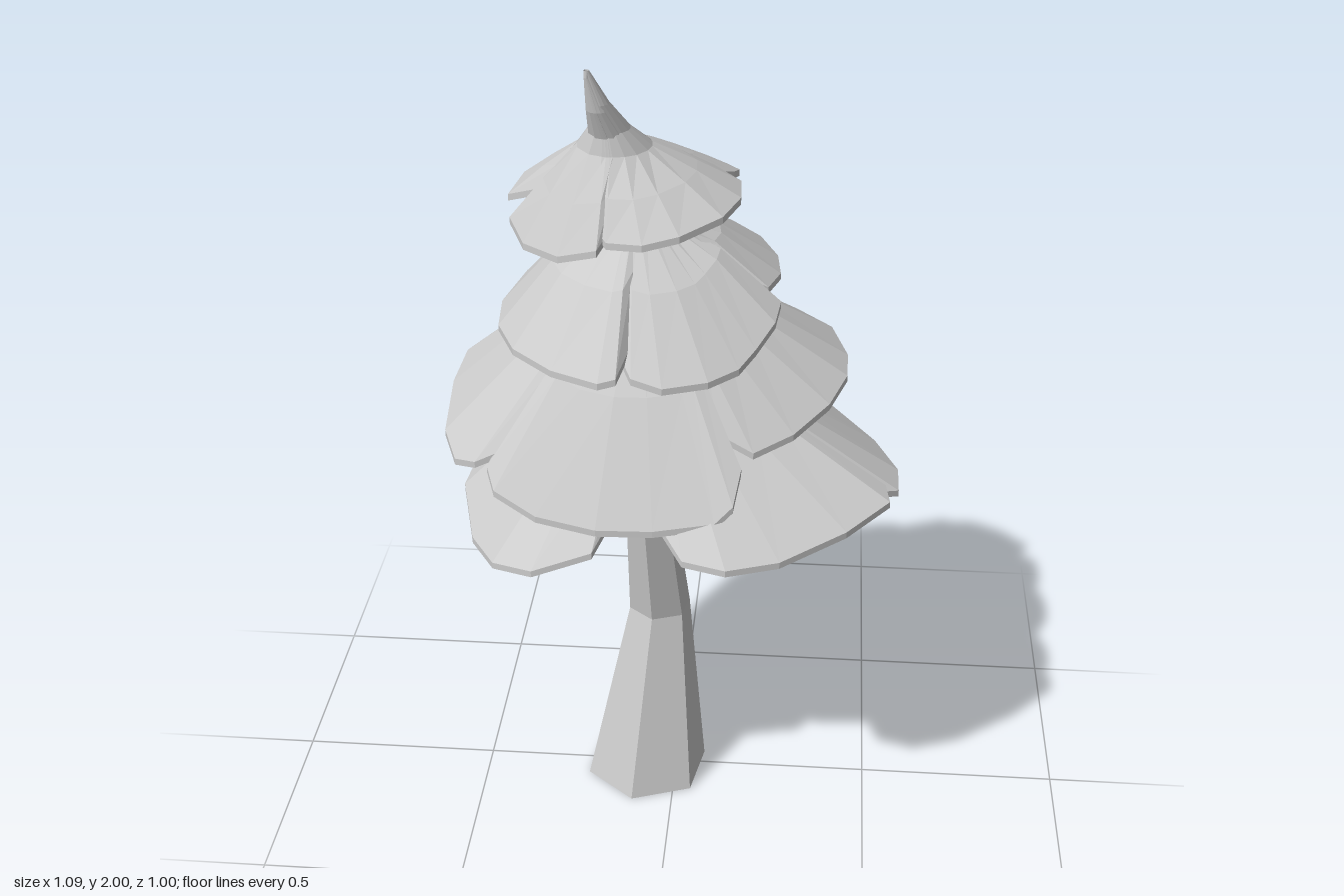
import * as THREE from 'three';

const material = new THREE.MeshStandardMaterial({
  color: 0xcccccc, flatShading: true, side: THREE.DoubleSide,
});

// Joins equal-length loops of points (first to last) into one skin.
function loft(loops, name) {
  const n = loops[0].length;
  const index = [];
  for (let j = 0; j < loops.length - 1; j++) {
    for (let i = 0; i < n; i++) {
      const k = (i + 1) % n;
      const a = j * n + i, b = j * n + k, c = a + n, d = b + n;
      index.push(a, b, c, b, d, c);
    }
  }
  const geometry = new THREE.BufferGeometry().setFromPoints(loops.flat());
  geometry.setIndex(index);
  geometry.computeVertexNormals();
  const mesh = new THREE.Mesh(geometry, material);
  mesh.name = name;
  return mesh;
}

const ringPoint = ([x, y, z, r], angle) =>
  new THREE.Vector3(x + r * Math.cos(angle), y, z + r * Math.sin(angle));

// Bent six-sided trunk; each section is [x, y, z, radius].
function makeTrunk() {
  const sections = [
    [-0.10, 1.75, 0.085, 0],
    [-0.10, 1.74, 0.085, 0.04],
    [-0.06, 1.0, 0.03, 0.058],
    [-0.06, 0.8, 0.04, 0.063],
    [-0.045, 0.49, -0.03, 0.08],
    [-0.077, 0, 0.012, 0.16],
    [-0.077, 0, 0.012, 0],
  ];
  const angles = [40, 100, 160, 220, 280, 340].map(THREE.MathUtils.degToRad);
  return loft(sections.map(s => angles.map(a => ringPoint(s, a))), 'trunk');
}

// One drooping sheet: hub rings, a bulged middle and a rim of [x, z, y] points.
function makeSheet(name, hubs, rim, bulge) {
  const thickness = 0.016;
  const inner = hubs[hubs.length - 1];
  const sections = rim.map(([x, z, y]) => {
    const angle = Math.atan2(z - inner[2], x - inner[0]);
    const edge = new THREE.Vector3(x, y, z);
    const line = hubs.map(h => ringPoint(h, angle));
    const middle = line[line.length - 1].clone().lerp(edge, 0.5);
    middle.y += bulge;
    const top = [...line, middle, edge];
    const under = top.map(p => p.clone().setY(p.y - thickness));
    return { top, under };
  });
  // the end loops fold onto the underside and close the two cut edges
  const fold = ({ under }) => [...under, ...[...under].reverse()];
  const loops = sections.map(({ top, under }) => [...under, ...top.reverse()]);
  return loft([fold(sections[0]), ...loops, fold(sections[sections.length - 1])], name);
}

// Three sheets that overlap at their ends make one tier.
function makeTier(name, hubs, rims, bulge) {
  const tier = new THREE.Group();
  tier.name = name;
  rims.forEach((rim, i) => tier.add(makeSheet(`${name}Sheet${i + 1}`, hubs, rim, bulge)));
  return tier;
}

const crownRims = [
  [[0.08, -0.02, 1.71], [0.15, 0.03, 1.69], [0.155, 0.13, 1.69], [0.12, 0.22, 1.68],
    [0.03, 0.29, 1.66], [-0.05, 0.31, 1.645], [-0.13, 0.29, 1.64], [-0.16, 0.25, 1.66]],
  [[-0.12, 0.25, 1.66], [-0.15, 0.30, 1.625], [-0.24, 0.27, 1.595], [-0.33, 0.18, 1.585],
    [-0.375, 0.08, 1.605], [-0.34, 0.04, 1.635]],
  [[-0.30, 0.10, 1.685], [-0.385, 0.03, 1.64], [-0.36, -0.06, 1.66], [-0.28, -0.15, 1.68],
    [-0.15, -0.195, 1.695], [-0.02, -0.19, 1.69], [0.06, -0.15, 1.68], [0.11, -0.10, 1.68],
    [0.14, -0.09, 1.67], [0.13, -0.05, 1.68], [0.06, 0.03, 1.71]],
];
const upperRims = [
  [[0.12, 0.07, 1.51], [0.25, 0.13, 1.44], [0.24, 0.20, 1.42], [0.20, 0.27, 1.385],
    [0.165, 0.32, 1.36], [0.10, 0.37, 1.35], [0, 0.40, 1.345], [-0.07, 0.385, 1.36],
    [-0.115, 0.32, 1.42]],
  [[-0.07, 0.32, 1.42], [-0.10, 0.41, 1.37], [-0.14, 0.415, 1.36], [-0.25, 0.36, 1.36],
    [-0.35, 0.26, 1.36], [-0.40, 0.15, 1.365], [-0.41, 0.03, 1.37], [-0.37, -0.10, 1.39],
    [-0.295, -0.20, 1.405], [-0.295, -0.25, 1.40], [-0.27, -0.265, 1.40],
    [-0.22, -0.25, 1.42], [-0.14, -0.16, 1.49]],
  [[-0.21, -0.12, 1.52], [-0.16, -0.21, 1.49], [-0.14, -0.27, 1.485], [-0.10, -0.29, 1.49],
    [0.02, -0.275, 1.49], [0.12, -0.235, 1.48], [0.19, -0.17, 1.47], [0.235, -0.08, 1.46],
    [0.245, 0.02, 1.46], [0.22, 0.11, 1.465], [0.13, 0.13, 1.51]],
];
const middleRims = [
  [[0.11, 0.25, 1.22], [0.175, 0.33, 1.11], [0.16, 0.39, 1.045], [0.12, 0.41, 1.01],
    [-0.02, 0.43, 0.995], [-0.15, 0.435, 0.995], [-0.29, 0.41, 1.01], [-0.39, 0.37, 1.05],
    [-0.41, 0.33, 1.09], [-0.36, 0.24, 1.18]],
  [[-0.36, 0.31, 1.13], [-0.44, 0.32, 1.095], [-0.49, 0.30, 1.09], [-0.53, 0.20, 1.11],
    [-0.545, 0, 1.135], [-0.53, -0.12, 1.16], [-0.47, -0.18, 1.185], [-0.31, -0.22, 1.26]],
  [[-0.25, -0.14, 1.31], [-0.31, -0.21, 1.27], [-0.33, -0.37, 1.18], [-0.22, -0.46, 1.18],
    [-0.02, -0.495, 1.18], [0.145, -0.43, 1.19], [0.28, -0.33, 1.205], [0.37, -0.20, 1.22],
    [0.41, -0.05, 1.22], [0.41, 0.04, 1.21], [0.37, 0.14, 1.185], [0.29, 0.23, 1.15],
    [0.20, 0.29, 1.13], [0.12, 0.28, 1.17]],
];
const lowerRims = [
  [[0.12, -0.30, 1.06], [0.20, -0.41, 0.985], [0.26, -0.42, 0.975], [0.38, -0.32, 0.935],
    [0.49, -0.16, 0.925], [0.545, 0, 0.935], [0.545, 0.10, 0.935], [0.49, 0.145, 0.955],
    [0.35, 0.17, 1.03]],
  [[0.33, 0.12, 1.07], [0.51, 0.17, 0.99], [0.52, 0.23, 0.98], [0.42, 0.34, 0.96],
    [0.27, 0.45, 0.94], [0.15, 0.495, 0.94], [0.05, 0.47, 0.945], [0, 0.40, 0.98],
    [-0.075, 0.25, 1.06]],
  [[-0.06, 0.24, 1.06], [-0.16, 0.43, 0.93], [-0.30, 0.44, 0.88], [-0.40, 0.38, 0.86],
    [-0.47, 0.25, 0.845], [-0.52, 0.06, 0.88], [-0.50, -0.10, 0.90], [-0.47, -0.18, 0.925],
    [-0.39, -0.33, 0.96], [-0.25, -0.46, 0.975], [-0.07, -0.50, 0.98], [0.07, -0.47, 0.97],
    [0.14, -0.43, 0.965], [0.18, -0.33, 1.01]],
];

export function createModel() {
  const tree = new THREE.Group();
  tree.name = 'tree';
  tree.add(
    makeTrunk(),
    // crown with a bent, pointed tip
    makeTier('crownTier', [
      [-0.174, 2.0, 0.21, 0.006], [-0.155, 1.92, 0.182, 0.026],
      [-0.135, 1.85, 0.14, 0.047], [-0.128, 1.8, 0.11, 0.085],
    ], crownRims, 0.003),
    makeTier('upperTier', [[-0.09, 1.635, 0.09, 0.01], [-0.09, 1.625, 0.08, 0.06]], upperRims, 0.025),
    makeTier('middleTier', [[-0.08, 1.47, 0.06, 0.01], [-0.08, 1.45, 0.05, 0.06]], middleRims, 0.03),
    makeTier('lowerTier', [[-0.06, 1.26, 0.03, 0.01], [-0.06, 1.24, 0.03, 0.06]], lowerRims, 0.022),
  );
  return tree;
}
